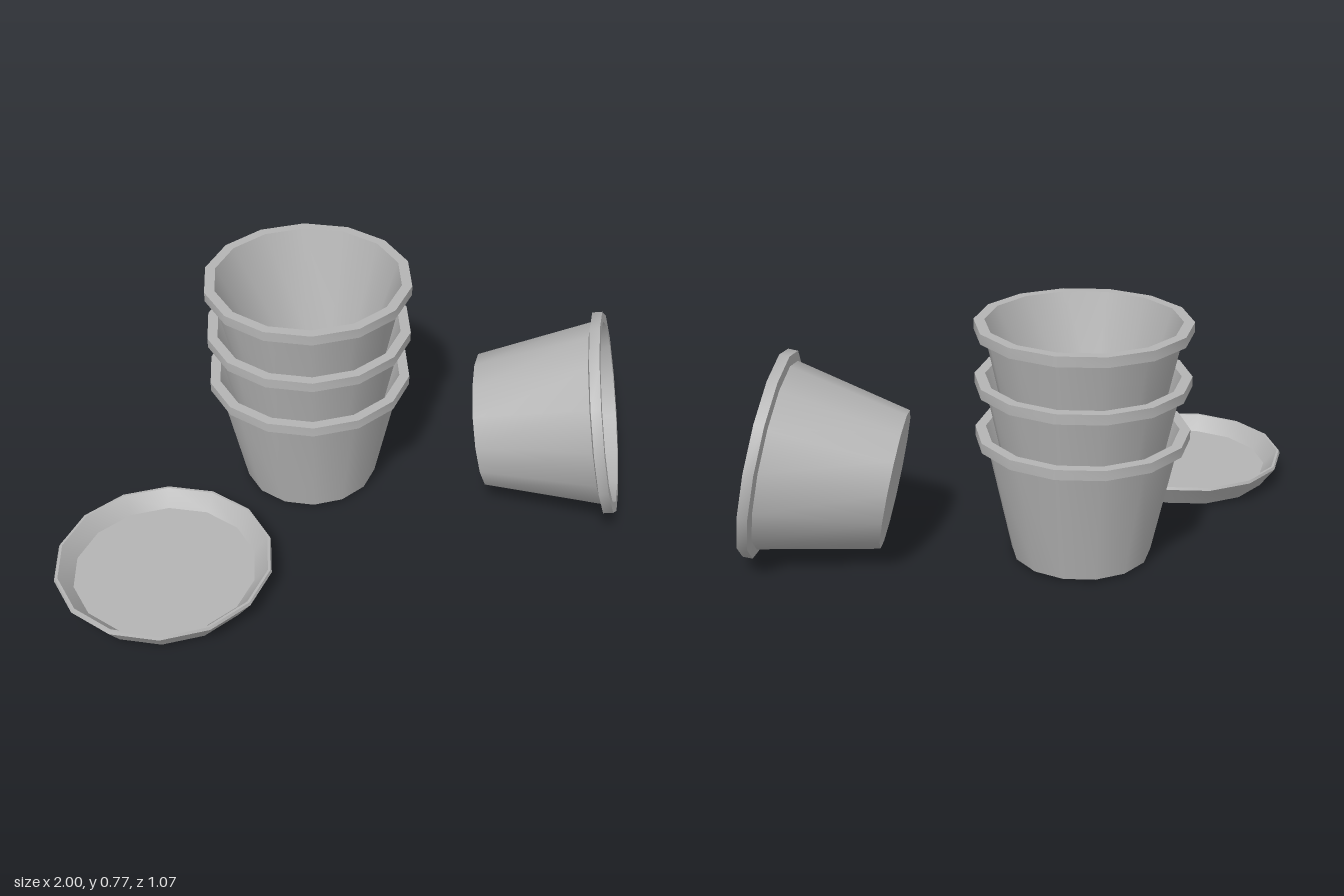
import * as THREE from 'three';
import { toCreasedNormals } from 'three/addons/utils/BufferGeometryUtils.js';

const SIDES = 14;
const rad = THREE.MathUtils.degToRad;

// Revolved profile with corners pointing along x; profile edges stay sharp
function turned(profile) {
  const points = profile.map(([r, y]) => new THREE.Vector2(r, y));
  const lathe = new THREE.LatheGeometry(points, SIDES, Math.PI / 2);
  return toCreasedNormals(lathe, 0.52);
}

export function createModel() {
  const model = new THREE.Group();
  const clay = new THREE.MeshStandardMaterial({ color: 0xb4b4b4 });
  clay.name = 'plainGrey';

  function add(name, geometry, x, y, z) {
    const mesh = new THREE.Mesh(geometry, clay);
    mesh.name = name;
    mesh.position.set(x, y, z);
    model.add(mesh);
    return mesh;
  }

  // Pot: base, tapered wall, overhanging rim, inner wall, inner floor
  const pot = turned([
    [0, 0], [0.222, 0], [0.302, 0.377], [0.333, 0.383], [0.333, 0.415],
    [0.3, 0.415], [0.182, 0.06], [0, 0.06],
  ]);

  // Three nested pots
  for (let i = 0; i < 3; i++) add('stackedPot' + (i + 1), pot, -0.067, 0.01 + i * 0.174, -0.215);

  // Pot lying on its side, resting on its rim
  const lying = add('lyingPot', pot, 0.475, 0.25, 0.007);
  lying.rotation.set(0, rad(-26), rad(-78.5));

  // Shallow saucer with a thin lip
  const saucer = turned([
    [0, 0], [0.295, 0], [0.345, 0.071], [0.341, 0.08], [0.333, 0.08],
    [0.289, 0.03], [0, 0.03],
  ]);
  add('saucer', saucer, -0.655, 0.01, 0.198);

  return model;
}
